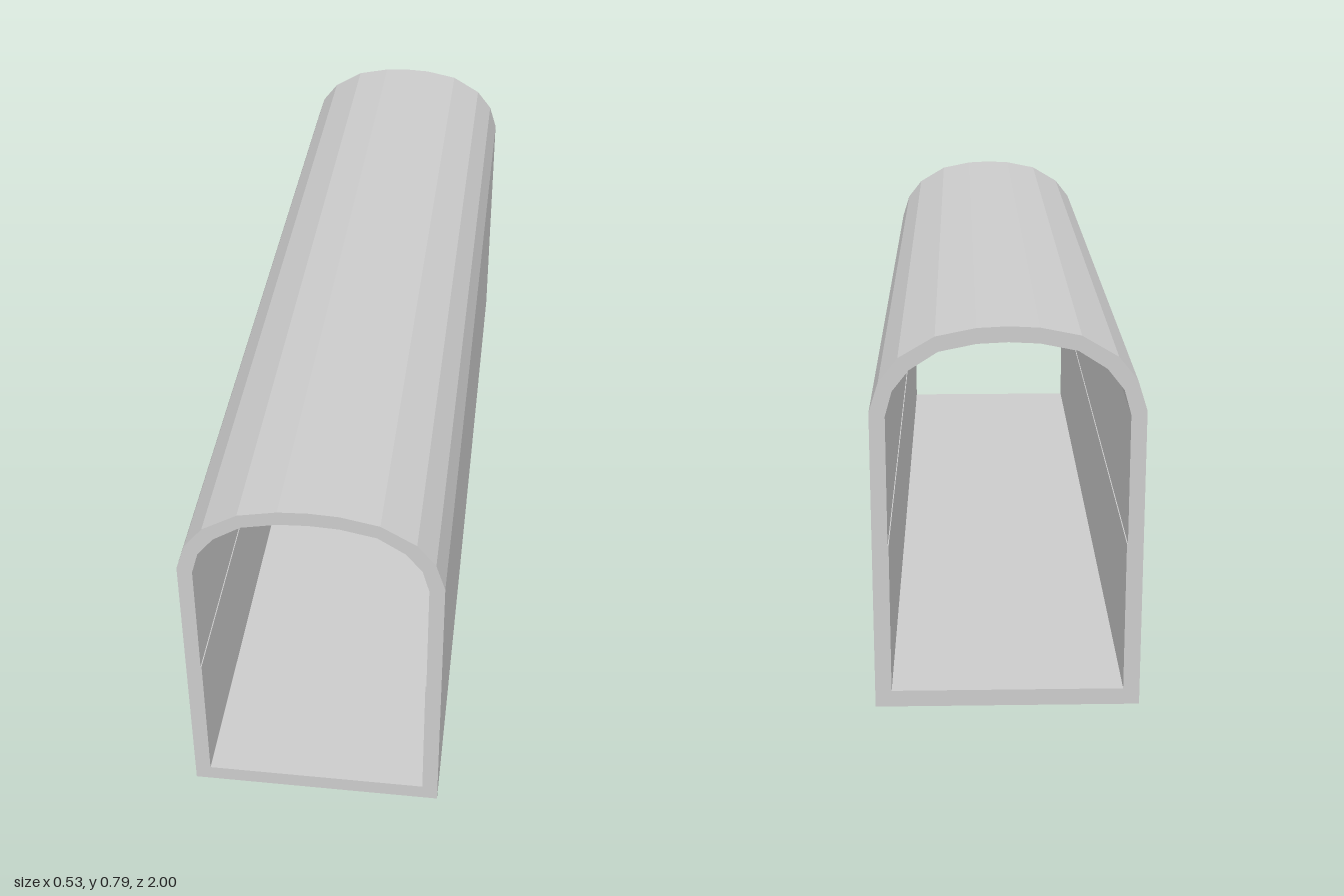
import * as THREE from 'three';

// Full closed outline from the right half, listed bottom to top
function mirrored(half) {
  const right = half.map(([x, y]) => new THREE.Vector2(x, y));
  const left = half.filter(([x]) => x > 0).reverse().map(([x, y]) => new THREE.Vector2(-x, y));
  return [...right, ...left];
}

export function createModel() {
  const group = new THREE.Group();
  group.name = 'archedTunnel';

  // Outer wall: straight sides and a faceted vault
  const outer = [
    [0.267, 0], [0.267, 0.625], [0.248, 0.685], [0.21, 0.733],
    [0.139, 0.775], [0.06, 0.791], [0, 0.794],
  ];
  // Inner opening: a slight step half way up the sides
  const inner = [
    [0.234, 0.035], [0.234, 0.35], [0.236, 0.35], [0.236, 0.617], [0.222, 0.667],
    [0.189, 0.709], [0.133, 0.745], [0.06, 0.76], [0, 0.763],
  ];

  const section = new THREE.Shape(mirrored(outer));
  section.holes.push(new THREE.Path(mirrored(inner)));

  const length = 2;
  const geometry = new THREE.ExtrudeGeometry(section, { depth: length, bevelEnabled: false });
  geometry.translate(0, 0, -length / 2);

  const shell = new THREE.Mesh(
    geometry,
    new THREE.MeshStandardMaterial({ color: 0xcccccc, flatShading: true }),
  );
  shell.name = 'tunnelShell';
  group.add(shell);
  return group;
}
